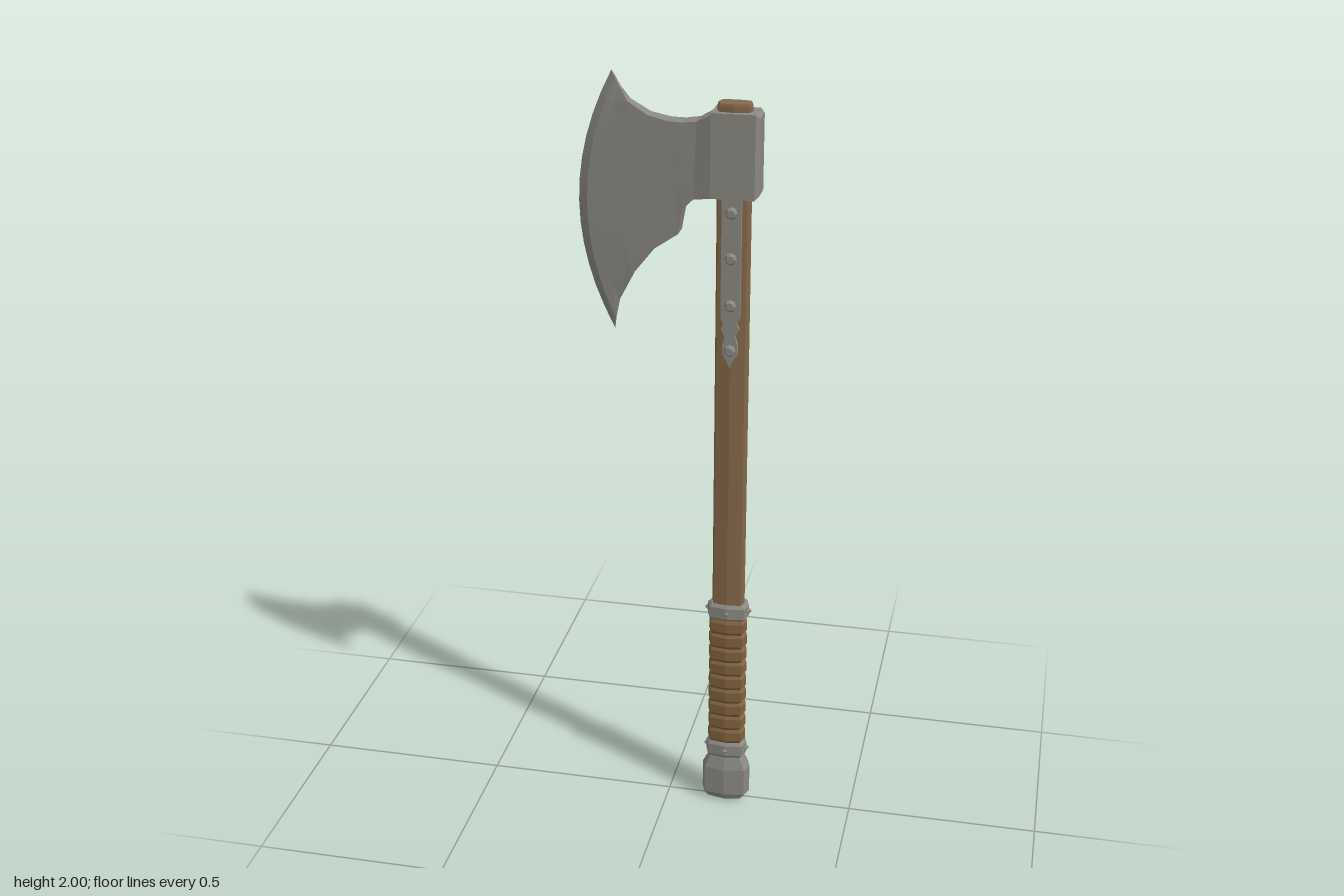
import * as THREE from 'three';

const AXIS_X = 0.158; // centre line of the haft

const mat = (name, color) => {
  const m = new THREE.MeshStandardMaterial({ color, flatShading: true });
  m.name = name;
  return m;
};

// Skins a series of equal-length rings of [x, y, z] points and caps both ends.
function loft(rings) {
  const tris = [];
  const n = rings[0].length;
  for (let r = 0; r < rings.length - 1; r++) {
    for (let i = 0; i < n; i++) {
      const j = (i + 1) % n;
      const a = rings[r][i], b = rings[r][j], c = rings[r + 1][j], d = rings[r + 1][i];
      tris.push([a, b, c], [a, c, d]);
    }
  }
  const cap = (ring, flip) => {
    const mid = [0, 1, 2].map(k => ring.reduce((s, p) => s + p[k], 0) / n);
    ring.forEach((p, i) => {
      const q = ring[(i + 1) % n];
      tris.push(flip ? [mid, q, p] : [mid, p, q]);
    });
  };
  cap(rings[0], true);
  cap(rings[rings.length - 1], false);
  // Signed volume tells whether the faces point outwards
  const volume = tris.reduce((s, [a, b, c]) => s
    + a[0] * (b[1] * c[2] - b[2] * c[1])
    + a[1] * (b[2] * c[0] - b[0] * c[2])
    + a[2] * (b[0] * c[1] - b[1] * c[0]), 0);
  if (volume < 0) tris.forEach(t => t.reverse());
  const geo = new THREE.BufferGeometry();
  geo.setAttribute('position', new THREE.Float32BufferAttribute(tris.flat(2), 3));
  geo.computeVertexNormals();
  return geo;
}

// Flattened eight-sided section shared by the haft, grip, collars and pommel
const SECTION = [[1, 0], [0.84, 0.78], [0, 1], [-0.84, 0.78], [-1, 0], [-0.84, -0.78], [0, -1], [0.84, -0.78]];
// levels: [y, half width in x, half depth in z]
const column = levels => loft(levels.map(([y, w, d]) => SECTION.map(([x, z]) => [AXIS_X + x * w, y, z * d])));

export function createModel() {
  const root = new THREE.Group();
  root.name = 'battleAxe';
  const steel = mat('steel', 0x8b8983);
  const wood = mat('wood', 0x84684a);
  const leather = mat('leather', 0x80613f);

  const add = (name, geo, material, parent = root) => {
    const mesh = new THREE.Mesh(geo, material);
    mesh.name = name;
    parent.add(mesh);
    return mesh;
  };
  const group = name => {
    const g = new THREE.Group();
    g.name = name;
    root.add(g);
    return g;
  };

  // Haft
  add('haft', column([[0.1, 0.043, 0.027], [1.93, 0.043, 0.027], [1.938, 0.041, 0.025]]), wood);

  // Wrapped grip: a stack of bevelled bands
  const grip = group('grip');
  const bands = 9, pitch = 0.0418;
  for (let i = 0; i < bands; i++) {
    const y = 0.182 + i * pitch;
    add('gripBand', column([
      [y, 0.044, 0.0275], [y + 0.008, 0.051, 0.032],
      [y + pitch - 0.008, 0.051, 0.032], [y + pitch, 0.044, 0.0275],
    ]), leather, grip);
  }

  // Collars with pyramid studs on four sides
  for (const [name, y] of [['lowerCollar', 0.16], ['upperCollar', 0.583]]) {
    const collar = group(name);
    add('collarBand', column([
      [y - 0.023, 0.047, 0.03], [y - 0.015, 0.055, 0.035],
      [y + 0.015, 0.055, 0.035], [y + 0.023, 0.047, 0.03],
    ]), steel, collar);
    for (const s of [-1, 1]) {
      const side = add('collarStud', new THREE.ConeGeometry(0.015, 0.014, 4), steel, collar);
      side.rotation.z = -s * Math.PI / 2;
      side.position.set(AXIS_X + s * 0.056, y, 0);
      const face = add('collarStud', new THREE.ConeGeometry(0.013, 0.01, 4), steel, collar);
      face.rotation.x = s * Math.PI / 2;
      face.position.set(AXIS_X, y, s * 0.036);
    }
  }

  // Pommel
  add('pommel', column([
    [0, 0.035, 0.024], [0.008, 0.053, 0.033], [0.022, 0.065, 0.038],
    [0.1, 0.065, 0.038], [0.138, 0.046, 0.029],
  ]), steel);

  // Socket around the haft, bevelled at the back
  const rect = (x, y0, y1, z) => [[x, y0, z], [x, y1, z], [x, y1, -z], [x, y0, -z]];
  add('socket', loft([
    rect(0.105, 1.71, 1.918, 0.038), rect(0.213, 1.71, 1.918, 0.038), rect(0.223, 1.72, 1.908, 0.029),
  ]), steel);

  // Blade: columns run from the socket to the edge
  // [top x, top y, bottom x, bottom y, forward bulge, half thickness]
  const bladeColumns = [
    [0.107, 1.913, 0.107, 1.71, 0, 0.038],
    [0.07, 1.893, 0.062, 1.702, 0, 0.027],
    [0.035, 1.888, 0.036, 1.675, 0, 0.025],
    [0.0, 1.889, 0.025, 1.612, 0, 0.023],
    [-0.05, 1.9, -0.035, 1.57, 0.005, 0.02],
    [-0.1, 1.93, -0.09, 1.5, 0.025, 0.016],
    [-0.122, 1.963, -0.128, 1.425, 0.052, 0.013],
    [-0.132, 1.982, -0.137, 1.38, 0.07, 0.011],
    [-0.142, 2.0, -0.14, 1.35, 0.086, 0],
  ];
  const rows = 12;
  const bladeRing = ([tx, ty, bx, by, bulge, half], index) => {
    const front = [];
    for (let i = 0; i <= rows; i++) {
      const t = i / rows, arc = 4 * t * (1 - t);
      const thin = index > 5 ? 0.5 + 0.5 * Math.sqrt(arc) : 1;
      front.push([tx + (bx - tx) * t - bulge * arc, ty + (by - ty) * t, half * thin]);
    }
    return [...front, ...front.map(([x, y, z]) => [x, y, -z]).reverse()];
  };
  add('blade', loft(bladeColumns.map(bladeRing)), steel);

  // Langets: riveted straps with a scalloped, pointed end
  const halfOutline = [
    [0.024, 1.72], [0.024, 1.41], [0.017, 1.395], [0.022, 1.38], [0.013, 1.36],
    [0.019, 1.34], [0.019, 1.315], [0.009, 1.3], [0, 1.28],
  ];
  const mirrored = halfOutline.slice(0, -1).map(([x, y]) => [-x, y]).reverse();
  const outline = [...halfOutline, ...mirrored].map(([x, y]) => new THREE.Vector2(x, y));
  const strap = new THREE.ExtrudeGeometry(new THREE.Shape(outline), { depth: 0.016, bevelEnabled: false });
  const rivet = new THREE.CylinderGeometry(0.01, 0.016, 0.009, 8);
  for (const s of [1, -1]) {
    const langet = group(s > 0 ? 'frontLanget' : 'backLanget');
    langet.position.x = AXIS_X;
    langet.rotation.y = s > 0 ? 0 : Math.PI;
    add('strap', strap, steel, langet).position.z = 0.021;
    for (const y of [1.677, 1.562, 1.442, 1.325]) {
      const r = add('rivet', rivet, steel, langet);
      r.rotation.x = Math.PI / 2;
      r.position.set(0, y, 0.041);
    }
  }

  return root;
}
